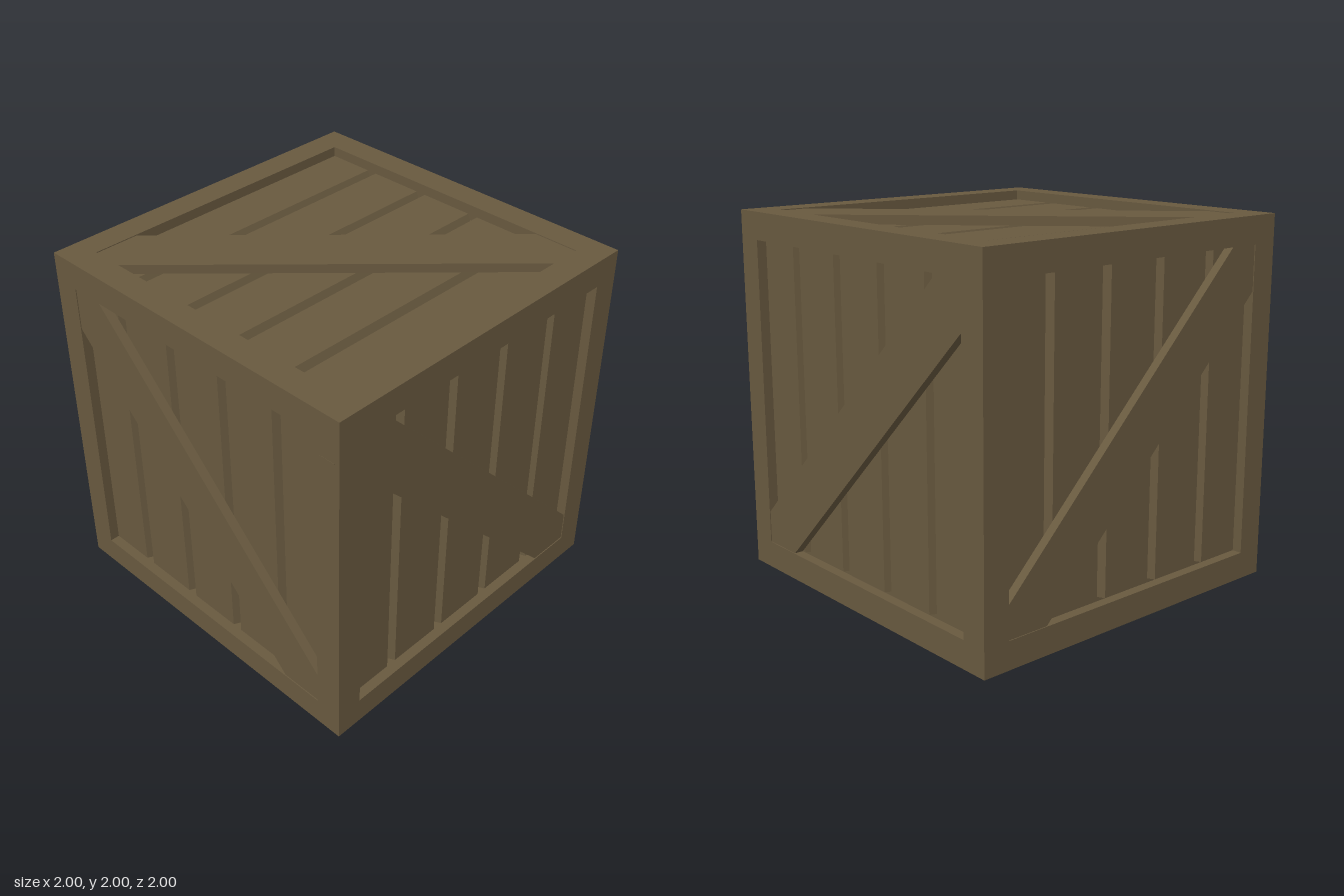
import * as THREE from 'three';

const INNER = 0.85;   // half size of the opening in each face frame
const RECESS = 0.055; // how far the planks sit behind the frame
const BRACE = 0.05;   // thickness of the diagonal brace

const wood = new THREE.MeshStandardMaterial({ color: 0x68593f });
wood.name = 'brown wood';

const polygon = (points) => new THREE.Shape(points.map(([x, y]) => new THREE.Vector2(x, y)));
const square = (h) => [[-h, -h], [h, -h], [h, h], [-h, h]];

function part(name, geometry) {
  const mesh = new THREE.Mesh(geometry, wood);
  mesh.name = name;
  return mesh;
}

// Square frame whose outer back edge is mitred so six of them close the box
function frameGeometry() {
  const shape = polygon(square(1));
  shape.holes.push(polygon(square(INNER).reverse()));
  const geo = new THREE.ExtrudeGeometry(shape, { depth: RECESS, bevelEnabled: false });
  const p = geo.attributes.position;
  for (let i = 0; i < p.count; i++) {
    if (p.getZ(i) > RECESS / 2 || Math.abs(p.getX(i)) < 0.99) continue;
    const k = 1 - RECESS;
    p.setXY(i, p.getX(i) * k, p.getY(i) * k);
  }
  geo.translate(0, 0, 1 - RECESS);
  geo.computeVertexNormals();
  return geo;
}

// Five planks in one section, parted by four sloped grooves
function plankGeometry() {
  const depth = 0.04;
  const profile = [[-INNER, 0]];
  for (let i = 0; i < 4; i++) {
    const x = -0.555 + i * 0.369;
    profile.push([x - 0.03, 0], [x - 0.01, -depth], [x + 0.01, -depth], [x + 0.03, 0]);
  }
  profile.push([INNER, 0], [INNER, -0.07], [-INNER, -0.07]);
  const geo = new THREE.ExtrudeGeometry(polygon(profile), { depth: 2 * INNER, bevelEnabled: false });
  geo.rotateX(Math.PI / 2);
  geo.translate(0, INNER, 1 - RECESS);
  return geo;
}

// 45 degree board clipped to the opening; side = 1 falls to the right, -1 rises
function braceGeometry(side, offset) {
  const a = INNER, u = offset + 0.21, l = offset - 0.21;
  let points = [[-a, a], [u - a, a], [a, u - a], [a, -a], [l + a, -a], [-a, l + a]];
  points = points.map(([x, y]) => [x * side, y]);
  const geo = new THREE.ExtrudeGeometry(polygon(points), { depth: BRACE, bevelEnabled: false });
  geo.translate(0, 0, 1 - RECESS);
  return geo;
}

export function createModel() {
  const crate = new THREE.Group();
  crate.name = 'crate';
  const frame = frameGeometry();
  const planks = plankGeometry();
  const q = Math.PI / 2;

  // name, turn about x, turn about y, brace direction, brace offset
  const sides = [
    ['front', 0, 0, 1, -0.03],
    ['back', 0, 2 * q, -1, -0.03],
    ['left', 0, q, 1, -0.037],
    ['right', 0, -q, -1, -0.037],
    ['top', -q, 0, -1, 0.043],
    ['bottom', q, 0, 1, -0.043],
  ];
  for (const [name, rx, ry, direction, offset] of sides) {
    const panel = new THREE.Group();
    panel.name = name + 'Panel';
    panel.add(
      part('frame', frame),
      part('planks', planks),
      part('brace', braceGeometry(direction, offset)),
    );
    panel.rotation.set(rx, ry, 0);
    panel.position.y = 1;
    crate.add(panel);
  }

  // Small splinter on the front frame
  const splinter = part('splinter', new THREE.BoxGeometry(0.09, 0.005, 0.004));
  splinter.position.set(0.925, 1.76, 0.999);
  crate.add(splinter);
  return crate;
}
